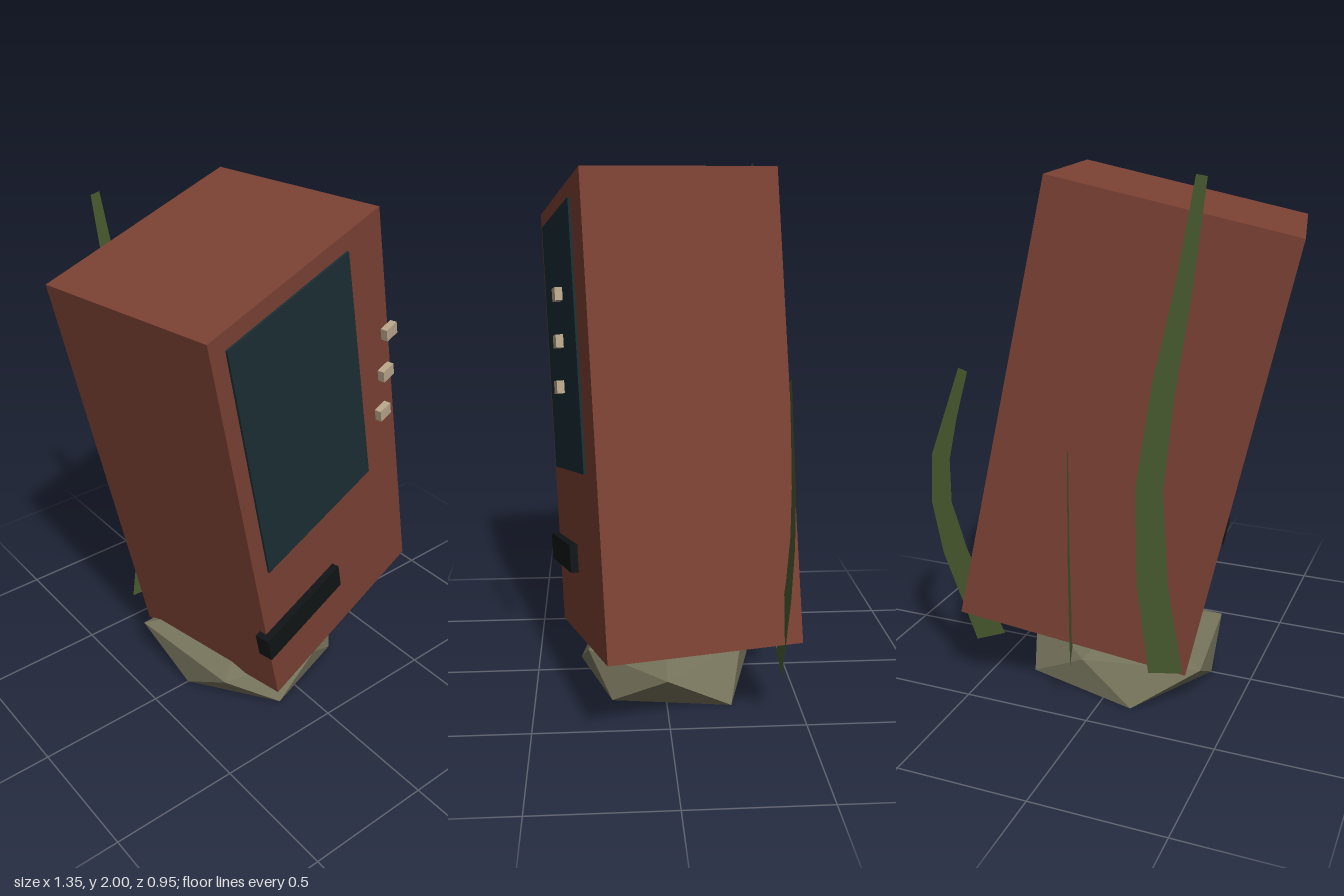
import * as THREE from 'three';
import { ConvexGeometry } from 'three/addons/geometries/ConvexGeometry.js';

const material = (color, side = THREE.FrontSide) =>
  new THREE.MeshStandardMaterial({ color, flatShading: true, side });

function addBox(parent, name, size, position, mat) {
  const mesh = new THREE.Mesh(new THREE.BoxGeometry(...size), mat);
  mesh.name = name;
  mesh.position.set(...position);
  parent.add(mesh);
  return mesh;
}

// Flat tapering ribbon; rows are [sideways offset, height, width]
function ribbon(rows) {
  const positions = [];
  const index = [];
  rows.forEach(([s, y, w], i) => {
    const a = rows[Math.max(i - 1, 0)];
    const b = rows[Math.min(i + 1, rows.length - 1)];
    const across = new THREE.Vector2(b[1] - a[1], a[0] - b[0]).normalize().multiplyScalar(w / 2);
    positions.push(s - across.x, y - across.y, 0, s + across.x, y + across.y, 0);
    if (i > 0) {
      const k = 2 * i;
      index.push(k - 2, k - 1, k + 1, k - 2, k + 1, k);
    }
  });
  const geometry = new THREE.BufferGeometry();
  geometry.setAttribute('position', new THREE.Float32BufferAttribute(positions, 3));
  geometry.setIndex(index);
  geometry.computeVertexNormals();
  return geometry;
}

export function createModel() {
  const model = new THREE.Group();
  model.name = 'sunkenMachine';

  // Leaning cabinet with window and dispensing slot
  const cabinet = new THREE.Group();
  cabinet.name = 'cabinet';
  cabinet.position.set(-0.005, 1.065, 0);
  cabinet.rotation.set(0, 0.2, 0.22);
  model.add(cabinet);
  addBox(cabinet, 'body', [0.889, 1.685, 0.709], [0, 0, 0], material(0x7a4133));
  addBox(cabinet, 'window', [0.625, 0.98, 0.02], [-0.064, 0.288, 0.353], material(0x1a2e34));
  addBox(cabinet, 'slot', [0.445, 0.106, 0.06], [-0.247, -0.537, 0.354], material(0x111416));

  // Buttons stacked vertically in front of the tilted face
  const buttonMat = material(0xb8a58a);
  [1.556, 1.394, 1.233].forEach((y, i) => {
    const button = addBox(model, `button${i + 1}`, [0.062, 0.045, 0.026], [0.317, y, 0.378], buttonMat);
    button.rotation.copy(cabinet.rotation);
  });

  // Faceted rock: base ring, staggered upper ring and peak
  const rockPoints = [
    [-0.11, 0, 0.328], [0.27, 0, 0.206], [0.336, 0, -0.243], [-0.125, 0, -0.367], [-0.336, 0, 0],
    [0.44, 0.157, 0.005], [0.098, 0.13, 0.296], [-0.31, 0.145, 0.225],
    [-0.37, 0.16, -0.265], [0.098, 0.132, -0.307], [0, 0.25, 0],
  ].map((p) => new THREE.Vector3(...p));
  const rock = new THREE.Mesh(new ConvexGeometry(rockPoints), material(0x77745c));
  rock.name = 'rock';
  model.add(rock);

  // Seaweed ribbons behind the cabinet
  const weedMat = material(0x4a5c30, THREE.DoubleSide);
  const weeds = [
    { name: 'seaweedLeft', at: [0, 0, -0.402], yaw: 0, rows: [
      [0.443, 0.217, 0.132], [0.583, 0.56, 0.11], [0.63, 0.755, 0.088],
      [0.622, 0.937, 0.076], [0.57, 1.105, 0.052], [0.509, 1.285, 0.038]] },
    { name: 'seaweedTall', at: [-0.275, 0, -0.397], yaw: 0.1, rows: [
      [0, 0.203, 0.13], [0.052, 0.56, 0.116], [0.064, 0.92, 0.1],
      [0.018, 1.28, 0.084], [-0.05, 1.64, 0.06], [-0.102, 1.995, 0.038]] },
    { name: 'seaweedShort', at: [0.1, 0, -0.4], yaw: -1.23, rows: [
      [-0.005, 0.21, 0.132], [-0.033, 0.37, 0.11], [-0.042, 0.54, 0.092],
      [-0.04, 0.7, 0.076], [-0.023, 0.86, 0.055], [0.004, 1.02, 0.032]] },
  ];
  for (const { name, at, yaw, rows } of weeds) {
    const weed = new THREE.Mesh(ribbon(rows), weedMat);
    weed.name = name;
    weed.position.set(...at);
    weed.rotation.y = yaw;
    model.add(weed);
  }
  return model;
}
